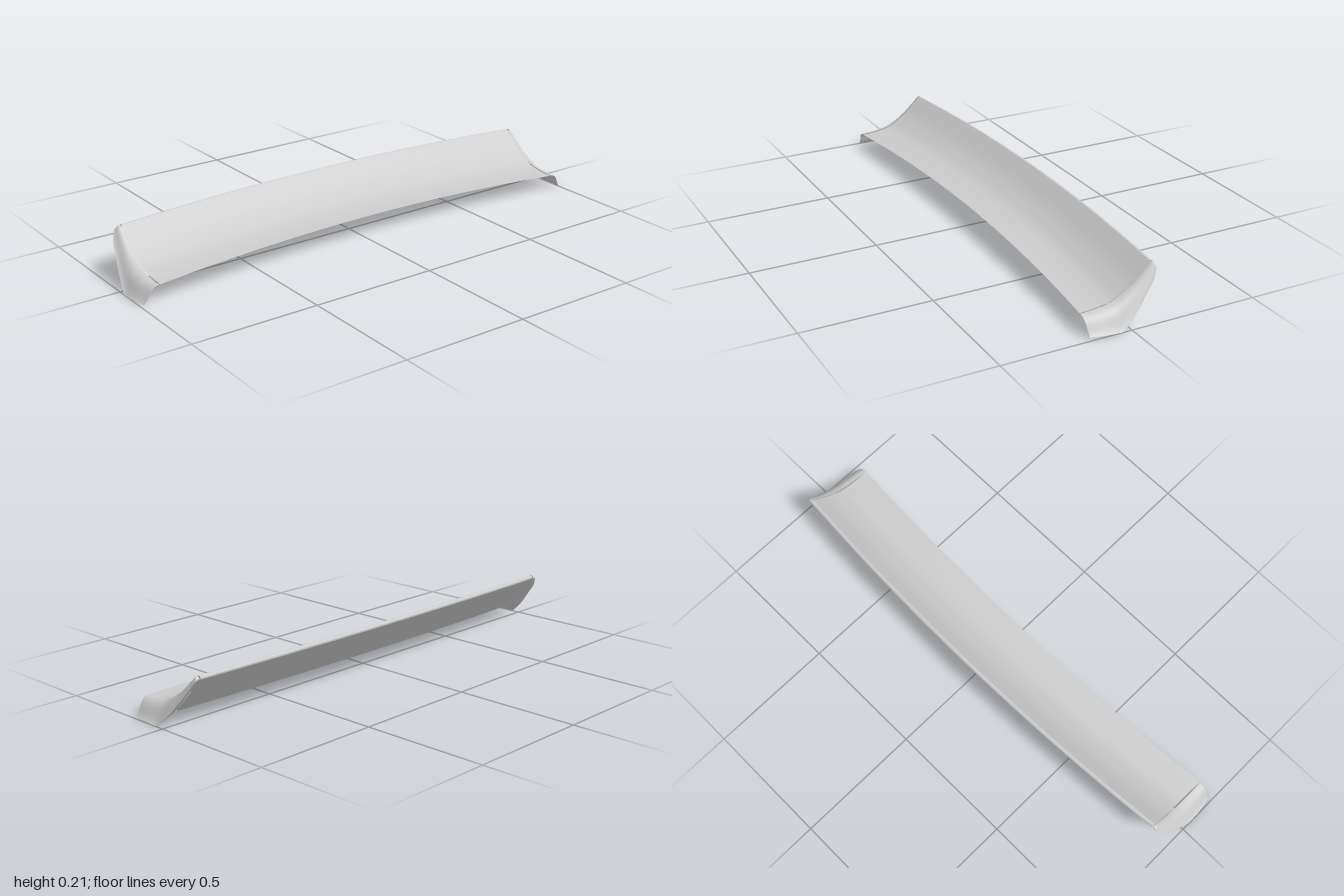
import * as THREE from 'three';

const material = new THREE.MeshStandardMaterial({ color: 0xcccccc, side: THREE.DoubleSide });
const SEAM = 0.925;

const curve = (pts) => new THREE.CatmullRomCurve3(pts.map((p) => new THREE.Vector3(...p)), false, 'centripetal');

// Profiles at the end of the blade, as [x, y, z], running front lip -> ridge -> trailing edge -> lower edge
const topProfile = curve([[0, 0.071, 0.162], [0, 0.075, 0.1], [0, 0.087, 0.04], [0, 0.108, 0], [0, 0.14, -0.045], [0, 0.203, -0.11]]);
const tipProfile = curve([[0, 0.203, -0.11], [0, 0.203, -0.116], [0, 0.197, -0.123], [0, 0.19, -0.122]]);
const backProfile = new THREE.LineCurve3(new THREE.Vector3(0, 0.19, -0.122), new THREE.Vector3(0, 0.042, 0.017));
const foldProfile = new THREE.LineCurve3(new THREE.Vector3(0, 0.042, 0.017), new THREE.Vector3(0, 0.043, 0.025));

// Outer edge of the end cap: along the foot, then up the rear
const footProfile = curve([[0.988, 0.007, 0.156], [0.997, 0.005, 0.1], [1, 0.002, 0.031]]);
const rearProfile = curve([[1, 0.002, 0.031], [0.987, 0.058, -0.027], [0.975, 0.108, -0.068], [0.964, 0.155, -0.105], [0.95, 0.188, -0.121]]);
const outerEdge = (v) => (v < 0.45 ? footProfile.getPoint(v / 0.45) : rearProfile.getPoint((v - 0.45) / 0.55));

// Surface from a rule f(u, v) -> Vector3, u running towards +x
function surface(name, f, nu, nv) {
  const pos = [], index = [];
  for (let j = 0; j <= nv; j++) {
    for (let i = 0; i <= nu; i++) pos.push(...f(i / nu, j / nv).toArray());
  }
  for (let j = 0; j < nv; j++) {
    for (let i = 0; i < nu; i++) {
      const a = j * (nu + 1) + i, b = a + 1, c = a + nu + 1, d = c + 1;
      index.push(a, b, d, a, d, c);
    }
  }
  const geo = new THREE.BufferGeometry();
  geo.setAttribute('position', new THREE.Float32BufferAttribute(pos, 3));
  geo.setIndex(index);
  geo.computeVertexNormals();
  const mesh = new THREE.Mesh(geo, material);
  mesh.name = name;
  return mesh;
}

// Blade strip: the profile is bowed back and slightly up towards the middle
function bladeStrip(name, profile, nv, rise0, rise1) {
  return surface(name, (u, v) => {
    const s = u * 2 - 1, bow = 1 - s * s;
    const p = profile.getPoint(v);
    return new THREE.Vector3(s * SEAM, p.y + bow * THREE.MathUtils.lerp(rise0, rise1, v), p.z - bow * 0.042);
  }, 24, nv);
}

// End cap on one side: flared outer skin, rounded trailing edge and rear panel
function endCap(side) {
  const cap = new THREE.Group();
  cap.name = side > 0 ? 'leftEndCap' : 'rightEndCap';
  const add = (name, f, nu, nv) => cap.add(surface(name, (u, v) => {
    const p = f(side > 0 ? u : 1 - u, v);
    p.x *= side;
    return p;
  }, nu, nv));
  const seam = (p) => p.setX(SEAM + 0.005);

  add('capSkin', (u, v) => {
    const a = seam(topProfile.getPoint(v)), d = outerEdge(v);
    const w = d.x - a.x, h = a.y - d.y;
    const b = new THREE.Vector3(a.x + w * 0.65, a.y - h * 0.04, a.z);
    const c = new THREE.Vector3(d.x - w * 0.35, d.y + h * 0.3, THREE.MathUtils.lerp(a.z, d.z, 0.8));
    return new THREE.CubicBezierCurve3(a, b, c, d).getPoint(u);
  }, 12, 28);

  // Closes the small gap between ridge and rear panel
  const tipEnd = outerEdge(1);
  add('capTrailingEdge', (u, v) => {
    const a = seam(tipProfile.getPoint(v));
    const ridge = seam(topProfile.getPoint(1));
    const w = tipEnd.x - ridge.x, h = ridge.y - tipEnd.y;
    const b = new THREE.Vector3(a.x + w * 0.65, a.y - h * 0.04 * (1 - v), a.z);
    const c = new THREE.Vector3(tipEnd.x - w * 0.35, tipEnd.y + h * 0.3 * (1 - v), THREE.MathUtils.lerp(a.z, tipEnd.z, 0.8));
    return new THREE.CubicBezierCurve3(a, b, c, tipEnd).getPoint(u);
  }, 12, 5);

  add('capRearPanel', (u, v) => seam(backProfile.getPoint(v)).lerp(rearProfile.getPoint(1 - v), u), 6, 16);
  return cap;
}

export function createModel() {
  const model = new THREE.Group();
  model.name = 'rearWing';

  const blade = new THREE.Group();
  blade.name = 'blade';
  blade.add(
    bladeStrip('bladeTop', topProfile, 28, 0.022, 0.011),
    bladeStrip('bladeTrailingEdge', tipProfile, 6, 0.011, 0.011),
    bladeStrip('bladeRearPanel', backProfile, 4, 0.011, 0.01),
    bladeStrip('bladeLowerLip', foldProfile, 1, 0.01, 0.01),
  );
  model.add(blade, endCap(1), endCap(-1));
  return model;
}
